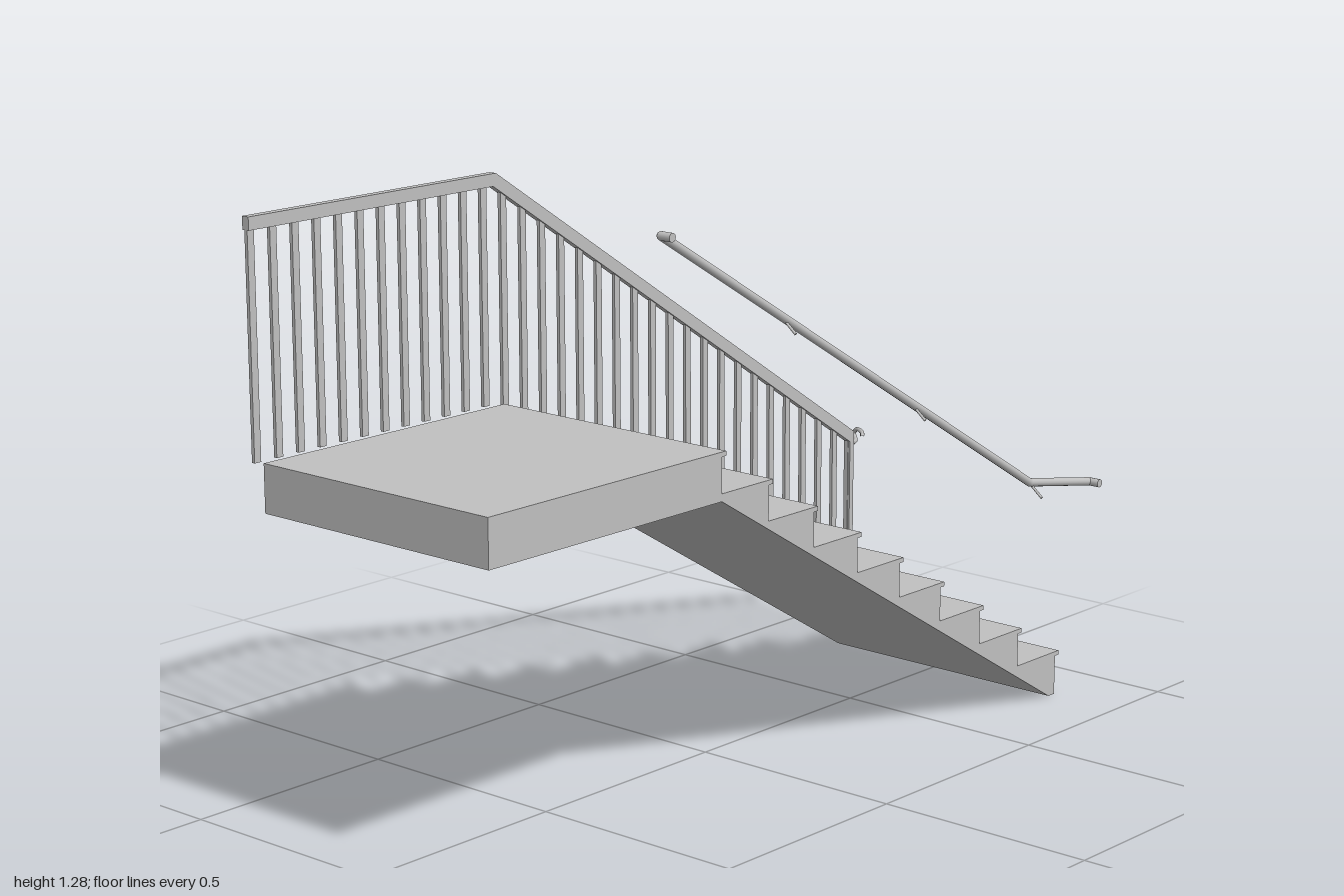
import * as THREE from 'three';

export function createModel() {
  const model = new THREE.Group();
  const grey = new THREE.MeshStandardMaterial({ color: 0xc0c0c0 });
  grey.name = 'light grey';

  const add = (name, geometry, parent = model) => {
    const mesh = new THREE.Mesh(geometry, grey);
    mesh.name = name;
    parent.add(mesh);
    return mesh;
  };
  const box = (name, w, h, d, x, y, z, parent) =>
    add(name, new THREE.BoxGeometry(w, h, d).translate(x, y, z), parent);
  // Extrudes a [z, y] side profile across x
  const sideExtrude = (name, points, x0, x1, parent) => {
    const shape = new THREE.Shape(points.map(p => new THREE.Vector2(...p)));
    const g = new THREE.ExtrudeGeometry(shape, { depth: x1 - x0, bevelEnabled: false });
    return add(name, g.rotateY(-Math.PI / 2).translate(x1, 0, 0), parent);
  };
  const group = name => {
    const g = new THREE.Group();
    g.name = name;
    model.add(g);
    return g;
  };

  const X0 = -0.286, X1 = 0.33, midX = (X0 + X1) / 2, width = X1 - X0;
  const steps = 8, rise = 0.0858, going = 0.1448, top = 0.787;

  // Landing slab
  box('landing', width, 0.102, 0.66, midX, 0.736, 0.657);

  // Stair flight with a sloping soffit
  const riserZ = k => 0.327 - going * k;
  const profile = [[-0.81, 0], [0.327, 0.685], [0.327, top - rise]];
  for (let k = 1; k <= steps; k++) {
    profile.push([riserZ(k), top - rise * k]);
    profile.push([riserZ(k), k < steps ? top - rise * (k + 1) : 0]);
  }
  sideExtrude('stairFlight', profile, X0, X1);

  // Nosing on every tread edge
  const nosings = group('nosings');
  for (let k = 0; k <= steps; k++)
    box('nosing', width, 0.01, 0.014, midX, top - rise * k - 0.005, riserZ(k) - 0.006, nosings);

  // Balustrade: flat then sloping top rail
  const balustrade = group('balustrade');
  const railX = -0.302, kneeZ = 0.322, endZ = -0.87, slope = 0.644;
  const under = z => 1.25 - Math.max(0, kneeZ + 0.008 - z) * slope;
  const endTop = 1.277 - (kneeZ - endZ) * slope;
  sideExtrude('topRail', [
    [1, 1.277], [kneeZ, 1.277], [endZ, endTop],
    [endZ, under(endZ)], [kneeZ + 0.008, 1.25], [1, 1.25],
  ], railX - 0.009, railX + 0.009, balustrade);

  // Flat balusters, following the slope at their feet
  for (let i = 0; i <= 32; i++) {
    const z = 0.991 - i * 0.0579;
    const foot = top - Math.max(0, 0.322 - z) * 0.654;
    const head = under(z) + 0.008;
    box('baluster', 0.008, head - foot, 0.017, railX, (head + foot) / 2, z, balustrade);
  }
  // Wider end post
  box('endPost', 0.018, 0.385, 0.014, railX, 0.2975, -0.862, balustrade);

  const curve = pts => new THREE.CatmullRomCurve3(pts.map(p => new THREE.Vector3(...p)));
  // Curled rail end
  add('railCurl', new THREE.TubeGeometry(curve([
    [-0.264, 0.5, -0.864], [-0.285, 0.504, -0.89], [-0.32, 0.502, -0.913],
    [-0.331, 0.49, -0.917], [-0.32, 0.478, -0.91], [-0.3, 0.478, -0.872],
  ]), 30, 0.005, 8), balustrade);

  // Round wall handrail with returns at both ends
  const handrail = group('wallHandrail');
  const bar = (name, a, b, r) => {
    const p = new THREE.Vector3(...a), q = new THREE.Vector3(...b);
    const mesh = add(name, new THREE.CylinderGeometry(r, r, p.distanceTo(q), 12), handrail);
    mesh.position.copy(p).lerp(q, 0.5);
    mesh.quaternion.setFromUnitVectors(new THREE.Vector3(0, 1, 0), q.sub(p).normalize());
  };
  const hx = 0.301, r = 0.0095;
  const path = [[X1, 1.239, 0.473], [hx, 1.239, 0.473], [hx, 0.508, -0.757],
    [hx, 0.465, -0.99], [X1, 0.465, -0.99]];
  for (let i = 0; i < 4; i++) {
    bar('handrailBar', path[i], path[i + 1], r);
    if (i) add('handrailJoint', new THREE.SphereGeometry(r, 12, 8), handrail).position.set(...path[i]);
  }
  // Wall brackets
  for (const z of [0.1, -0.333, -0.765]) {
    const y = 0.508 + (z + 0.757) * 0.594;
    bar('bracket', [hx, y - 0.004, z], [X1, y - 0.028, z], 0.003);
  }
  return model;
}
